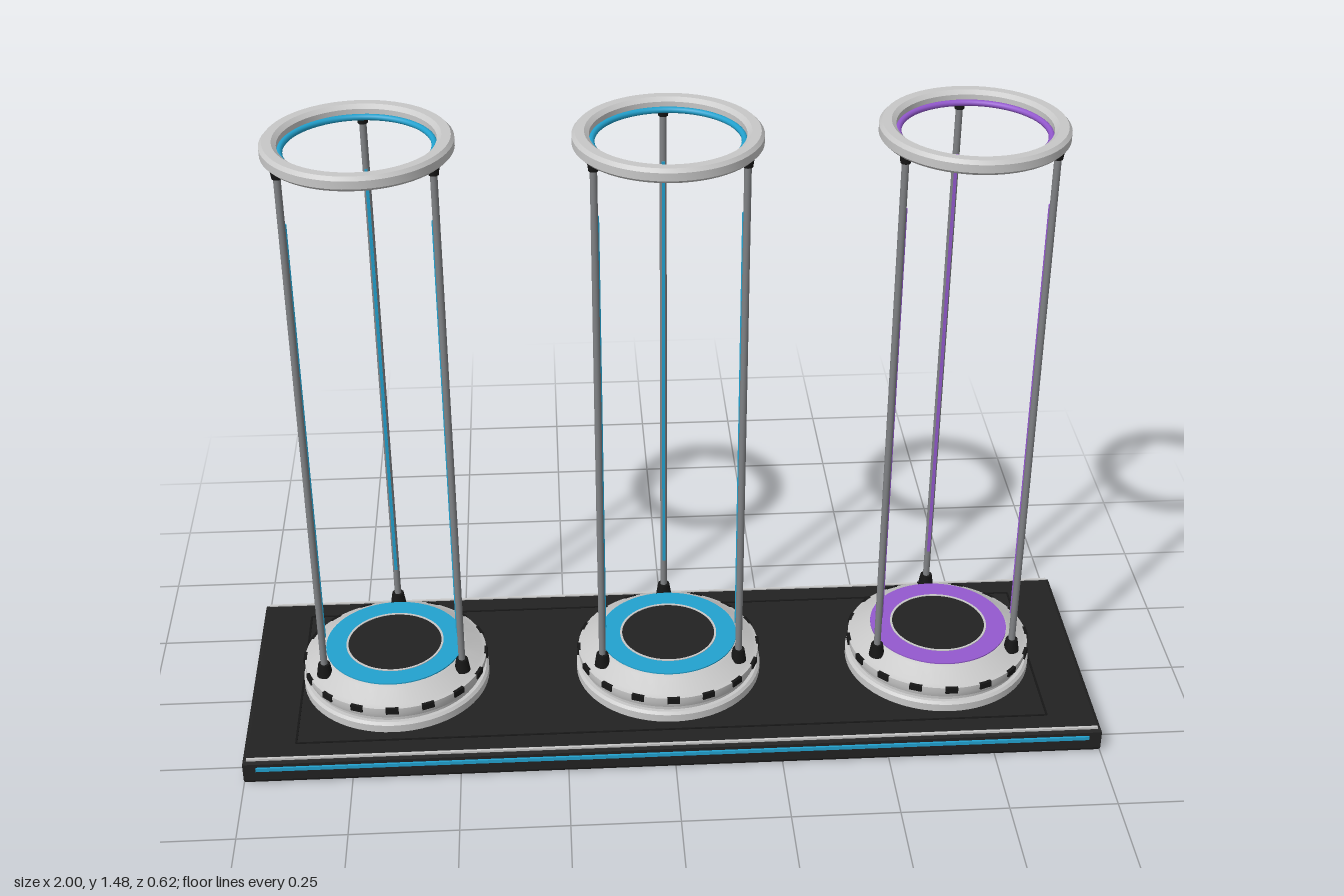
import * as THREE from 'three';
import { toCreasedNormals } from 'three/addons/utils/BufferGeometryUtils.js';

const mat = (name, color) => new THREE.MeshStandardMaterial({ name, color });

export function createModel() {
  const black = mat('matte black', 0x222222);
  const darkTrim = mat('dark trim', 0x161616);
  const silver = mat('silver', 0xc8c8c8);
  const steel = mat('steel', 0x808285);
  const blue = mat('blue glow', 0x22a2cf);
  const purple = mat('purple glow', 0x9459cf);

  const root = new THREE.Group();
  root.name = 'displayStand';

  const add = (parent, name, geo, material, x = 0, y = 0, z = 0) => {
    const m = new THREE.Mesh(geo, material);
    m.name = name;
    m.position.set(x, y, z);
    parent.add(m);
    return m;
  };
  const lathe = (pts) => toCreasedNormals(
    new THREE.LatheGeometry(pts.map(([r, y]) => new THREE.Vector2(r, y)), 64), 0.4);
  const flatRing = (inner, outer, y0, y1) =>
    lathe([[outer, y0], [outer, y1], [inner, y1], [inner, y0], [outer, y0]]);

  // Platform with softened edges
  const b = 0.01, hx = 1 - b, hz = 0.31 - b;
  const outline = new THREE.Shape([[-hx, -hz], [hx, -hz], [hx, hz], [-hx, hz]]
    .map(([x, y]) => new THREE.Vector2(x, y)));
  const slab = new THREE.ExtrudeGeometry(outline, {
    depth: 0.065 - 2 * b, bevelEnabled: true, bevelThickness: b, bevelSize: b, bevelSegments: 2,
  });
  slab.rotateX(-Math.PI / 2);
  add(root, 'platform', slab, black, 0, b, 0);

  // Edge rails, panel seams and front light strip
  for (const s of [-1, 1]) {
    add(root, 'edgeRail', new THREE.BoxGeometry(1.98, 0.006, 0.006), silver, 0, 0.065, s * 0.303);
    add(root, 'longSeam', new THREE.BoxGeometry(1.76, 0.002, 0.005), darkTrim, 0, 0.0652, s * 0.25);
    add(root, 'shortSeam', new THREE.BoxGeometry(0.005, 0.002, 0.5), darkTrim, s * 0.88, 0.0652, 0);
  }
  add(root, 'frontLightStrip', new THREE.BoxGeometry(1.94, 0.009, 0.008), blue, 0, 0.042, 0.311);

  // Shared pod geometry
  const baseGeo = lathe([
    [0.222, 0.06], [0.222, 0.084], [0.216, 0.09], [0.207, 0.09], [0.207, 0.098], [0.213, 0.102],
    [0.217, 0.115], [0.217, 0.129], [0.205, 0.133], [0.172, 0.157], [0.165, 0.16], [0, 0.16],
  ]);
  const hoopGeo = lathe([
    [0.198, 1.442], [0.205, 1.449], [0.205, 1.467], [0.198, 1.475],
    [0.178, 1.475], [0.168, 1.467], [0.168, 1.442], [0.198, 1.442],
  ]);
  const glowGeo = flatRing(0.116, 0.164, 0.155, 0.163);
  const rimGeo = flatRing(0.111, 0.116, 0.155, 0.1645);
  const discGeo = new THREE.CylinderGeometry(0.111, 0.111, 0.006, 64);
  const hoopGlowGeo = new THREE.TorusGeometry(0.163, 0.007, 10, 64).rotateX(Math.PI / 2);
  const notchGeo = new THREE.BoxGeometry(0.03, 0.015, 0.01);
  const rodGeo = new THREE.CylinderGeometry(0.008, 0.008, 1.3, 16);
  const footGeo = new THREE.CylinderGeometry(0.014, 0.019, 0.032, 16);
  const collarGeo = new THREE.CylinderGeometry(0.013, 0.011, 0.016, 16);
  const stripGeo = new THREE.BoxGeometry(0.007, 1.07, 0.006);

  const addPod = (x, glow) => {
    const pod = new THREE.Group();
    pod.name = 'pod';
    pod.position.x = x;
    root.add(pod);

    // Stepped base with glowing ring and dark centre
    add(pod, 'podBase', baseGeo, silver);
    add(pod, 'baseGlowRing', glowGeo, glow);
    add(pod, 'innerRim', rimGeo, silver);
    add(pod, 'centreDisc', discGeo, black, 0, 0.16, 0);

    // Dark notches around the base
    for (let i = 0; i < 16; i++) {
      const a = (i / 16) * Math.PI * 2;
      add(pod, 'notch', notchGeo, darkTrim, Math.sin(a) * 0.215, 0.123, Math.cos(a) * 0.215).rotation.y = a;
    }

    // Three rods, one at the back, with light strips facing inward
    for (let i = 0; i < 3; i++) {
      const post = new THREE.Group();
      post.name = 'post';
      post.rotation.y = Math.PI + (i * Math.PI * 2) / 3;
      pod.add(post);
      add(post, 'rod', rodGeo, steel, 0, 0.8, 0.187);
      add(post, 'rodFoot', footGeo, darkTrim, 0, 0.16, 0.187);
      add(post, 'rodCollar', collarGeo, darkTrim, 0, 1.435, 0.187);
      add(post, 'rodLightStrip', stripGeo, glow, 0, 0.785, 0.18);
    }

    // Upper hoop
    add(pod, 'upperHoop', hoopGeo, silver);
    add(pod, 'hoopGlowRing', hoopGlowGeo, glow, 0, 1.45, 0);
  };

  addPod(-0.656, blue);
  addPod(0, blue);
  addPod(0.656, purple);
  return root;
}
